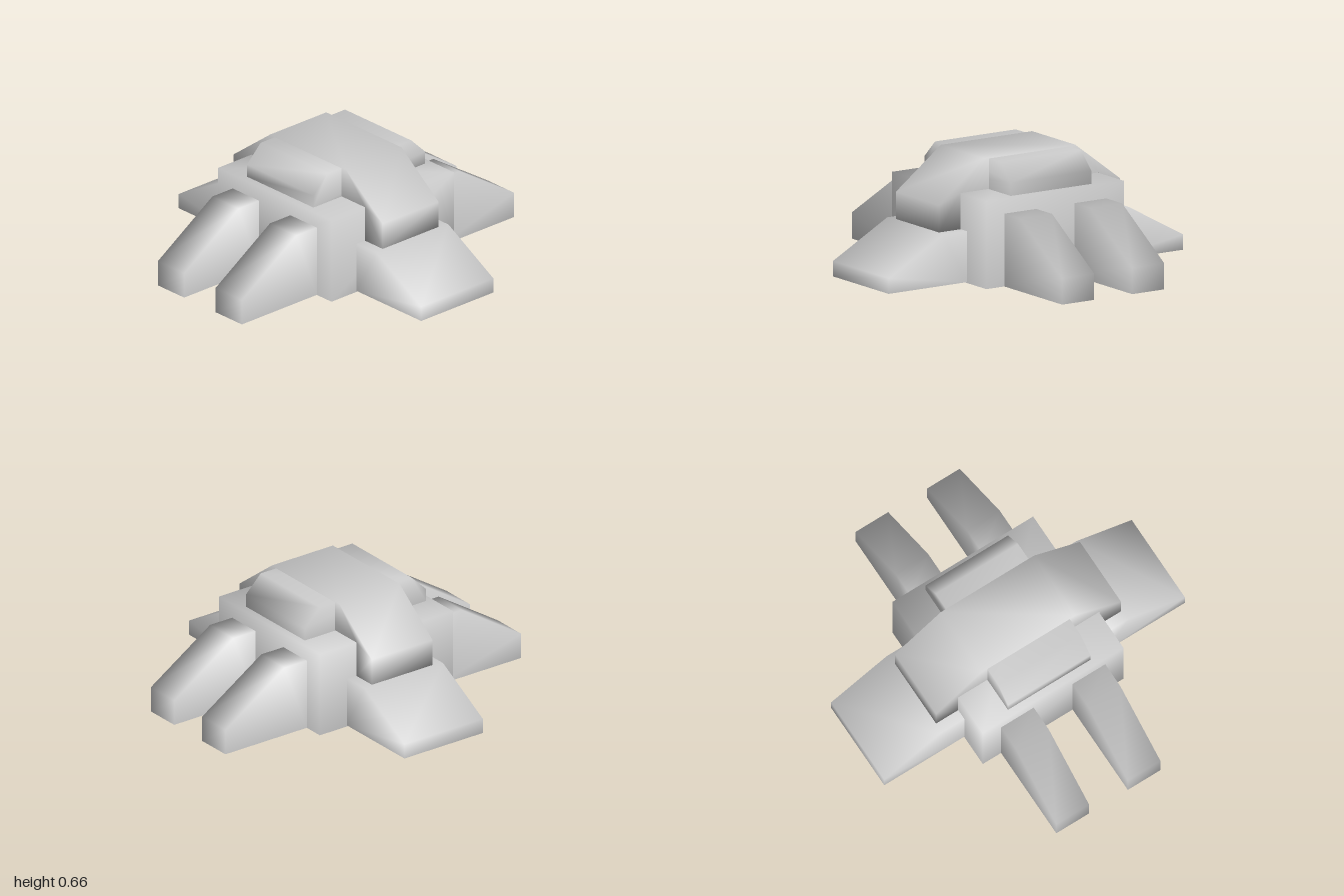
import * as THREE from 'three';
import { mergeVertices } from 'three/addons/utils/BufferGeometryUtils.js';

const material = new THREE.MeshStandardMaterial({ color: 0xcccccc, side: THREE.DoubleSide });

// Extrudes an x-y profile, centred on z, leaves out the faces that isOpen picks, and smooths it.
function shell(points, depth, isOpen) {
  const shape = new THREE.Shape(points.map(([x, y]) => new THREE.Vector2(x, y)));
  const solid = new THREE.ExtrudeGeometry(shape, { depth, bevelEnabled: false });
  solid.translate(0, 0, -depth / 2);
  const source = solid.getAttribute('position');
  const kept = [];
  for (let i = 0; i < source.count; i += 3) {
    const corners = [0, 1, 2].map((k) => new THREE.Vector3().fromBufferAttribute(source, i + k));
    if (corners.every(isOpen)) continue;
    corners.forEach((c) => kept.push(c.x, c.y, c.z));
  }
  const geometry = new THREE.BufferGeometry();
  geometry.setAttribute('position', new THREE.Float32BufferAttribute(kept, 3));
  const welded = mergeVertices(geometry, 1e-4);
  welded.computeVertexNormals();
  return welded;
}

export function createModel() {
  const model = new THREE.Group();
  const add = (name, geometry, angle = 0, z = 0) => {
    const mesh = new THREE.Mesh(geometry, material);
    mesh.name = name;
    mesh.rotation.y = angle;
    mesh.position.z = z;
    model.add(mesh);
  };
  const half = 0.45; // half width of the central body

  // Central block, hollow from below
  add('body', shell([[-half, 0], [half, 0], [half, 0.485], [-half, 0.485]], 0.905, (p) => p.y < 0.001));

  // Side buttresses, two on each side, open below and against the body
  const buttress = shell(
    [[half, 0], [1, 0], [1, 0.145], [0.6, 0.403], [half, 0.403]], 0.21,
    (p) => p.y < 0.001 || p.x < half + 0.001);
  for (const z of [-0.23, 0.23]) {
    add('leftButtress', buttress, 0, z);
    add('rightButtress', buttress, Math.PI, z);
  }

  // Wide ramps at front and back
  const ramp = shell(
    [[half, 0.005], [0.967, 0.005], [0.967, 0.09], [0.61, 0.287], [half, 0.287]], 0.53,
    (p) => p.y < 0.006 || p.x < half + 0.001);
  add('frontRamp', ramp, -Math.PI / 2);
  add('backRamp', ramp, Math.PI / 2);

  // Arched spine over the body, hanging down over both ends
  add('spine', shell([
    [0.455, 0.285], [0.595, 0.285], [0.595, 0.437], [0.3, 0.66],
    [-0.3, 0.66], [-0.595, 0.437], [-0.595, 0.285], [-0.455, 0.285],
    [-0.455, 0.487], [0.455, 0.487],
  ], 0.41, (p) => p.y < 0.488 && Math.abs(p.x) < 0.456), -Math.PI / 2);

  // Bevelled roof block crossing under the spine
  add('roofBlock', shell(
    [[-0.41, 0.485], [0.41, 0.485], [0.41, 0.557], [0.31, 0.655], [-0.31, 0.655], [-0.41, 0.557]],
    0.53, (p) => p.y < 0.486));

  return model;
}
